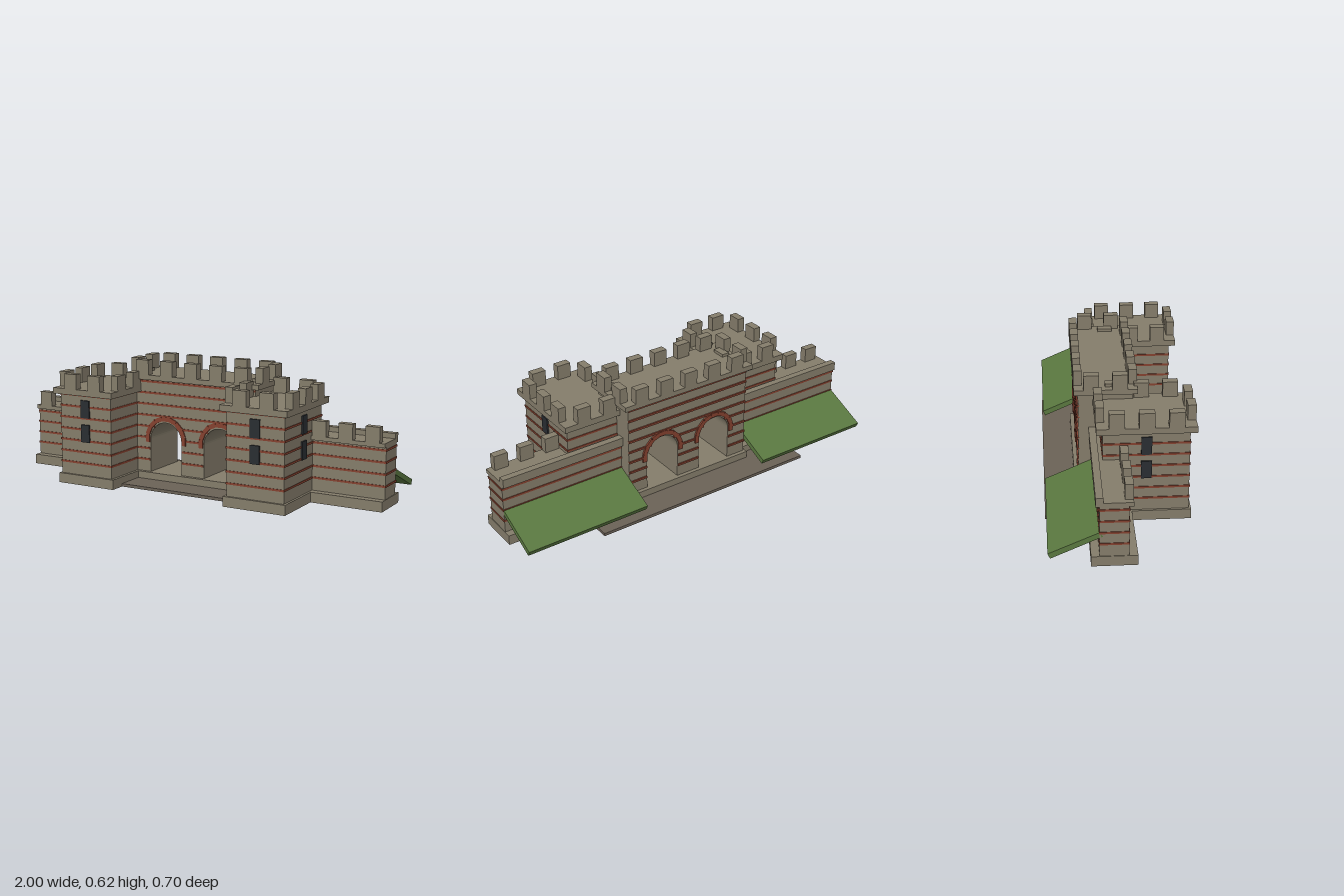
import * as THREE from 'three';

const mat = (color) => new THREE.MeshStandardMaterial({ color, flatShading: true });
const STONE = mat(0x857d6b), PAVING = mat(0x6b6257), BRICK = mat(0x84412f);
const GLASS = mat(0x2a2e32), GRASS = mat(0x5a7840);

// Box given by its limits on each axis
function block(parent, name, material, x0, x1, y0, y1, z0, z1) {
  const mesh = new THREE.Mesh(new THREE.BoxGeometry(x1 - x0, y1 - y0, z1 - z0), material);
  mesh.position.set((x0 + x1) / 2, (y0 + y1) / 2, (z0 + z1) / 2);
  mesh.name = name;
  parent.add(mesh);
  return mesh;
}

// Evenly spaced merlons along x or z, in a row of the given thickness
function merlonRow(parent, axis, centre, count, step, r0, r1, y0) {
  for (let i = 0; i < count; i++) {
    const c = centre + (i - (count - 1) / 2) * step;
    const a = c - 0.036, b = c + 0.036;
    if (axis === 'x') block(parent, 'merlon', STONE, a, b, y0, y0 + 0.075, r0, r1);
    else block(parent, 'merlon', STONE, r0, r1, y0, y0 + 0.075, a, b);
  }
}

const bandHeight = (i) => 0.113 + i * 0.0574;
const ARCH_X = 0.155, ARCH_R = 0.09, SPRING = 0.22;

function gatehouse() {
  const g = new THREE.Group();
  g.name = 'gatehouse';
  block(g, 'gatehousePlinth', STONE, -0.36, 0.36, 0, 0.05, -0.2, 0.1);

  // Body pierced by two arched passages
  const shape = new THREE.Shape();
  shape.moveTo(-0.35, 0.05).lineTo(-ARCH_X - ARCH_R, 0.05);
  for (const cx of [-ARCH_X, ARCH_X]) {
    shape.lineTo(cx - ARCH_R, 0.05);
    shape.lineTo(cx - ARCH_R, SPRING);
    shape.absarc(cx, SPRING, ARCH_R, Math.PI, 0, true);
    shape.lineTo(cx + ARCH_R, 0.05);
  }
  shape.lineTo(0.35, 0.05).lineTo(0.35, 0.525).lineTo(-0.35, 0.525);
  const geo = new THREE.ExtrudeGeometry(shape, { depth: 0.26, bevelEnabled: false, curveSegments: 16 });
  geo.translate(0, 0, -0.18);
  const body = new THREE.Mesh(geo, STONE);
  body.name = 'gatehouseBody';
  g.add(body);

  // Brick courses, interrupted at the openings
  for (const [z0, z1] of [[-0.187, -0.173], [0.073, 0.084]]) {
    for (let i = 0; i < 8; i++) {
      const y = bandHeight(i);
      const rise = Math.max(0, y - SPRING);
      const half = rise < ARCH_R ? Math.sqrt(ARCH_R ** 2 - rise ** 2) + 0.003 : 0;
      const spans = half
        ? [[-0.35, -ARCH_X - half], [-ARCH_X + half, ARCH_X - half], [ARCH_X + half, 0.35]]
        : [[-0.35, 0.35]];
      for (const [a, b] of spans) block(g, 'brickCourse', BRICK, a, b, y - 0.005, y + 0.005, z0, z1);
    }
    // Ring of brick blocks round each arch
    for (const cx of [-ARCH_X, ARCH_X]) {
      for (let i = 0; i <= 8; i++) {
        const t = (i / 8) * Math.PI;
        const brick = block(g, 'archBrick', BRICK, -0.0115, 0.0115, -0.021, 0.021, z0 - 0.002, z1 + 0.002);
        brick.position.x = cx + 0.105 * Math.cos(t);
        brick.position.y = SPRING + 0.005 + 0.105 * Math.sin(t);
        brick.rotation.z = t;
      }
    }
  }

  // Roof platform and battlements
  block(g, 'gatehouseRoof', STONE, -0.375, 0.375, 0.525, 0.55, -0.2, 0.1);
  merlonRow(g, 'x', 0, 5, 0.14, 0.06, 0.1, 0.55);
  merlonRow(g, 'x', 0, 5, 0.14, -0.2, -0.16, 0.55);
  merlonRow(g, 'z', -0.05, 2, 0.136, 0.335, 0.375, 0.55);
  merlonRow(g, 'z', -0.05, 2, 0.136, -0.375, -0.335, 0.55);
  return g;
}

// Tower, curtain wall and grass ramp of one side; s = 1 for left, -1 for right
function wing(s) {
  const g = new THREE.Group();
  g.name = s > 0 ? 'leftWing' : 'rightWing';
  const b = (name, m, x0, x1, ...rest) =>
    block(g, name, m, Math.min(s * x0, s * x1), Math.max(s * x0, s * x1), ...rest);

  // Tower
  b('towerPlinth', STONE, 0.31, 0.637, 0, 0.05, -0.09, 0.332);
  b('towerBody', STONE, 0.325, 0.625, 0.05, 0.46, -0.08, 0.32);
  for (let i = 0; i < 7; i++) {
    const y = bandHeight(i);
    b('towerBrickCourse', BRICK, 0.322, 0.628, y - 0.005, y + 0.005, -0.083, 0.323);
  }
  b('towerRoof', STONE, 0.3, 0.65, 0.46, 0.49, -0.11, 0.35);
  merlonRow(g, 'x', s * 0.475, 2, 0.14, 0.31, 0.35, 0.49);
  merlonRow(g, 'x', s * 0.475, 2, 0.14, -0.11, -0.07, 0.49);
  for (const x of [0.32, 0.63]) merlonRow(g, 'z', 0.12, 3, 0.136, s * x - 0.02, s * x + 0.02, 0.49);

  // Windows on the front and outer faces
  for (const y of [0.222, 0.345]) {
    b('frontWindow', GLASS, 0.45, 0.5, y, y + 0.089, 0.31, 0.328);
    b('sideWindow', GLASS, 0.615, 0.633, y, y + 0.089, 0.096, 0.145);
  }

  // Curtain wall with battlements in front and a low parapet behind
  b('wallPlinth', STONE, 0.35, 1, 0, 0.05, -0.153, 0.055);
  b('wallBody', STONE, 0.35, 0.997, 0.05, 0.3, -0.115, 0.015);
  for (let i = 0; i < 4; i++) {
    const y = bandHeight(i);
    b('wallBrickCourse', BRICK, 0.35, 1, y - 0.005, y + 0.005, -0.118, 0.018);
  }
  b('wallWalk', STONE, 0.35, 0.997, 0.3, 0.32, -0.132, 0.035);
  b('rearParapet', STONE, 0.35, 0.997, 0.32, 0.345, -0.132, -0.098);
  merlonRow(g, 'x', s * 0.8, 3, 0.135, -0.003, 0.035, 0.32);

  // Sloping grass bank behind the wall
  const section = new THREE.Shape();
  section.moveTo(0.1, 0.151).lineTo(0.332, 0.047).lineTo(0.343, 0.072).lineTo(0.1, 0.179);
  const geo = new THREE.ExtrudeGeometry(section, { depth: 0.645, bevelEnabled: false });
  geo.rotateY(Math.PI / 2); // section runs towards -z, extrusion along +x
  geo.translate(s > 0 ? 0.352 : -0.997, 0, 0);
  const bank = new THREE.Mesh(geo, GRASS);
  bank.name = 'grassBank';
  g.add(bank);
  return g;
}

export function createModel() {
  const model = new THREE.Group();
  model.name = 'castleGate';
  model.add(gatehouse(), wing(1), wing(-1));
  // Paving in front of and behind the gate
  block(model, 'frontPaving', PAVING, -0.312, 0.312, 0, 0.015, 0.05, 0.25);
  block(model, 'rearPaving', PAVING, -0.6, 0.6, 0, 0.015, -0.348, -0.14);
  return model;
}
